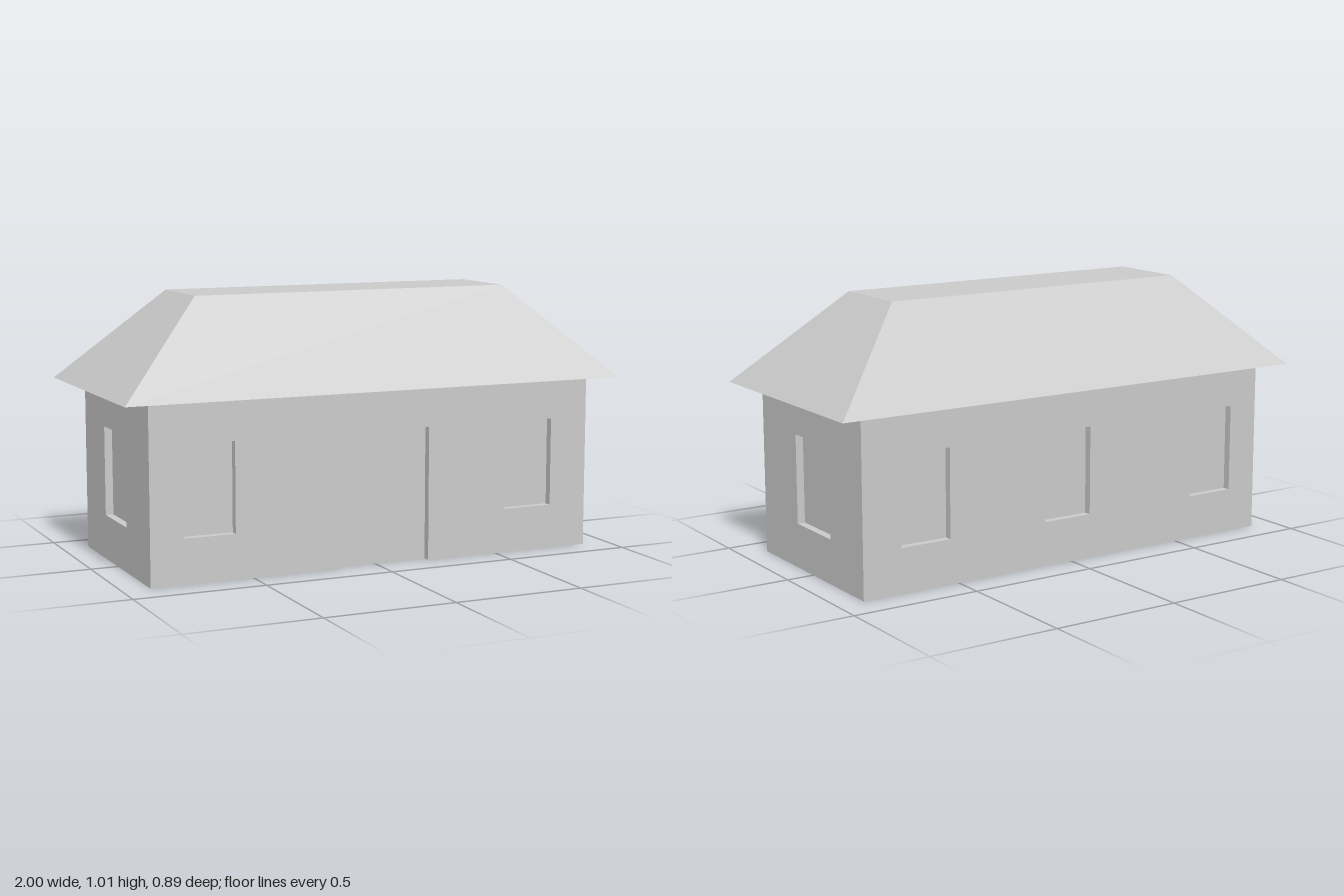
import * as THREE from 'three';

const HALF_W = 0.895, HALF_D = 0.38, EAVES = 0.665, RECESS = 0.03;
const SILL = 0.17, HEAD = 0.51;

const material = new THREE.MeshStandardMaterial({ color: 0xcccccc, flatShading: true });

function addMesh(parent, name, geometry) {
  const mesh = new THREE.Mesh(geometry, material);
  mesh.name = name;
  parent.add(mesh);
  return mesh;
}

// Wall panel facing +z: windows are holes, a door is a notch in the bottom edge.
function wallPanel(halfWidth, distance, windows, door) {
  const shape = new THREE.Shape().moveTo(-halfWidth, 0);
  if (door) {
    const [a, b] = door;
    shape.lineTo(a, 0).lineTo(a, HEAD).lineTo(b, HEAD).lineTo(b, 0);
  }
  shape.lineTo(halfWidth, 0).lineTo(halfWidth, EAVES).lineTo(-halfWidth, EAVES).closePath();
  for (const [a, b] of windows) {
    shape.holes.push(
      new THREE.Path().moveTo(a, SILL).lineTo(a, HEAD).lineTo(b, HEAD).lineTo(b, SILL).closePath()
    );
  }
  return new THREE.ExtrudeGeometry(shape, { depth: RECESS, bevelEnabled: false })
    .translate(0, 0, distance - RECESS);
}

export function createModel() {
  const house = new THREE.Group();
  house.name = 'house';

  // Inner block: its faces show as the recessed panes and door
  addMesh(house, 'innerBlock', new THREE.BoxGeometry(
    2 * (HALF_W - RECESS), EAVES, 2 * (HALF_D - RECESS)
  ).translate(0, EAVES / 2, 0));

  // Outer walls, each turned to its own side; openings run along the wall's own x
  const sideHalf = HALF_D - RECESS;
  const walls = [
    ['frontWall', 0, HALF_W, HALF_D, [[-0.77, -0.57], [0.535, 0.74]], [-0.165, 0.21]],
    ['backWall', Math.PI, HALF_W, HALF_D, [[-0.74, -0.535], [-0.12, 0.085], [0.57, 0.77]]],
    ['leftWall', Math.PI / 2, sideHalf, HALF_W, [[-0.115, 0.14]]],
    ['rightWall', -Math.PI / 2, sideHalf, HALF_W, [[-0.14, 0.115]]],
  ];
  for (const [name, turn, halfWidth, distance, windows, door] of walls) {
    addMesh(house, name, wallPanel(halfWidth, distance, windows, door)).rotation.y = turn;
  }

  // Hipped roof with a flat top: a box whose upper corners are drawn inward
  const roof = new THREE.BoxGeometry(2, 0.35, 0.89).translate(0, EAVES + 0.175, 0);
  const p = roof.attributes.position;
  for (let i = 0; i < p.count; i++) {
    if (p.getY(i) > EAVES + 0.1) {
      p.setX(i, Math.sign(p.getX(i)) * 0.637);
      p.setZ(i, Math.sign(p.getZ(i)) * 0.16);
    }
  }
  roof.computeVertexNormals();
  addMesh(house, 'roof', roof);

  return house;
}
